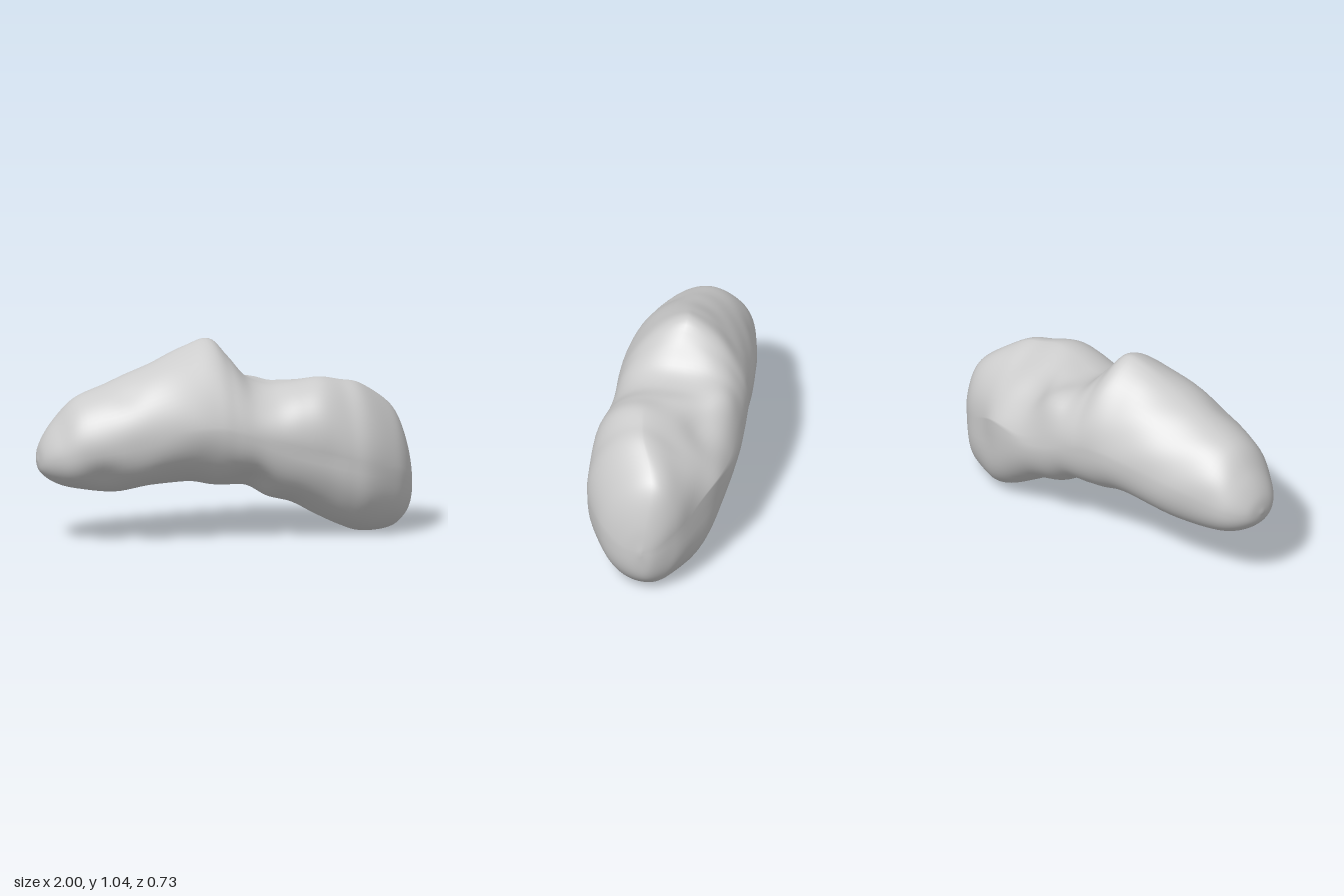
import * as THREE from 'three';
import { mergeVertices } from 'three/addons/utils/BufferGeometryUtils.js';

// Cross-sections along the body: x, top y, bottom y, widest y, back z, front z, crest z
const SECTIONS = [
  [-1.0, 0.43, 0.43, 0.43, 0, 0, 0],
  [-0.98, 0.52, 0.365, 0.44, -0.10, 0.10, 0],
  [-0.91, 0.63, 0.31, 0.46, -0.18, 0.18, 0],
  [-0.80, 0.75, 0.275, 0.49, -0.225, 0.25, 0.01],
  [-0.60, 0.835, 0.255, 0.53, -0.275, 0.31, 0.02],
  [-0.40, 0.92, 0.28, 0.57, -0.315, 0.335, 0.02],
  [-0.21, 1.005, 0.295, 0.60, -0.34, 0.353, 0],
  [-0.08, 1.035, 0.27, 0.60, -0.35, 0.353, -0.02],
  [0.01, 0.95, 0.265, 0.58, -0.36, 0.345, 0],
  [0.11, 0.835, 0.26, 0.55, -0.365, 0.34, 0.02],
  [0.22, 0.795, 0.20, 0.51, -0.365, 0.345, 0.04],
  [0.35, 0.812, 0.165, 0.47, -0.36, 0.35, 0.08],
  [0.48, 0.832, 0.095, 0.44, -0.345, 0.355, 0.10],
  [0.60, 0.81, 0.035, 0.41, -0.325, 0.36, 0.08],
  [0.71, 0.785, 0.0, 0.38, -0.285, 0.345, 0.05],
  [0.85, 0.69, 0.01, 0.35, -0.21, 0.27, -0.02],
  [0.925, 0.60, 0.045, 0.32, -0.145, 0.20, -0.04],
  [0.98, 0.43, 0.12, 0.28, -0.07, 0.10, -0.02],
  [1.0, 0.27, 0.27, 0.27, 0, 0, 0],
];

// Shallow hollows and bumps: x, y, z, radius, height
const DENTS = [
  [0.20, 0.76, -0.25, 0.10, 0.025],
  [0.43, 0.72, -0.20, 0.11, -0.025],
  [0.08, 0.27, 0.22, 0.12, -0.025],
  [0.72, 0.40, -0.30, 0.15, -0.02],
  [-0.70, 0.36, 0.24, 0.10, -0.02],
  [-0.55, 0.77, 0.18, 0.09, -0.012],
  [-0.45, 0.40, 0.32, 0.10, 0.012],
];

const STEPS = 6, RING = 64;

// Superelliptic power that keeps the sign
const pow = (v, p) => Math.sign(v) * Math.pow(Math.abs(v), 2 / p);
const bell = (x, centre, width) => Math.exp(-(((x - centre) / width) ** 2));
const lump = (x) => bell(x, 0.62, 0.2);

// Roundness of each quarter of a section: below 2 is pointed, above 2 is boxy
function roundness(x, upper, backSide) {
  if (!upper) return backSide ? 2.25 + 0.6 * lump(x) : 2.15 - 0.2 * bell(x, -0.3, 0.35);
  const peak = 1.9 - 0.33 * bell(x, -0.12, 0.24);
  return backSide
    ? peak + 1.5 * bell(x, 0.2, 0.13) - 0.5 * lump(x)
    : peak + 0.1 * bell(x, 0.25, 0.15) - 0.25 * bell(x, 0.65, 0.18);
}

function bodyGeometry() {
  const count = SECTIONS.length;
  const spline = new THREE.CubicInterpolant(SECTIONS.map((_, i) => i), SECTIONS.flat(), 7, new Float32Array(7));
  const rows = (count - 1) * STEPS;
  const pos = [], index = [];
  for (let i = 0; i <= rows; i++) {
    const [x, top, bottom, widest, back, front, crest] = spline.evaluate(i / STEPS);
    for (let j = 0; j < RING; j++) {
      const a = (j / RING) * Math.PI * 2;
      const c = Math.cos(a), s = Math.sin(a);
      const p = roundness(x, c > 0, s < 0);
      // the back of the big lump bulges higher than its front
      const mid = widest + (s < 0 ? 0.09 * lump(x) : 0);
      const axis = c > 0 ? crest * pow(c, p) : 0;
      const z = axis + (s > 0 ? front : -back) * pow(s, p);
      pos.push(x, mid + (c > 0 ? top - mid : mid - bottom) * pow(c, p), z);
      if (i < rows) {
        const k = i * RING + j, n = i * RING + ((j + 1) % RING);
        index.push(k, n, k + RING, n, n + RING, k + RING);
      }
    }
  }
  // Both ends close to a single point
  for (let j = 0; j < RING; j++) {
    pos[j * 3 + 1] = SECTIONS[0][1];
    pos[(rows * RING + j) * 3 + 1] = SECTIONS[count - 1][1];
  }
  let geo = new THREE.BufferGeometry();
  geo.setAttribute('position', new THREE.Float32BufferAttribute(pos, 3));
  geo.setIndex(index);
  geo = mergeVertices(geo, 1e-4);
  geo.computeVertexNormals();

  // Press the hollows and gentle surface waves along the normals
  const P = geo.attributes.position, N = geo.attributes.normal;
  const v = new THREE.Vector3(), n = new THREE.Vector3(), d = new THREE.Vector3();
  for (let i = 0; i < P.count; i++) {
    v.fromBufferAttribute(P, i);
    n.fromBufferAttribute(N, i);
    let h = 0.002 * Math.sin(v.x * 17 + v.y * 9) * Math.sin(v.z * 15 + v.y * 13);
    for (const [x, y, z, r, amount] of DENTS) {
      h += amount * Math.exp(-v.distanceToSquared(d.set(x, y, z)) / (r * r));
    }
    v.addScaledVector(n, h);
    P.setXYZ(i, v.x, Math.max(0, v.y), v.z);
  }
  geo.computeVertexNormals();
  return geo;
}

export function createModel() {
  const group = new THREE.Group();
  group.name = 'asteroid';
  const body = new THREE.Mesh(bodyGeometry(), new THREE.MeshStandardMaterial({ color: 0xcccccc }));
  body.name = 'rockBody';
  group.add(body);
  return group;
}
